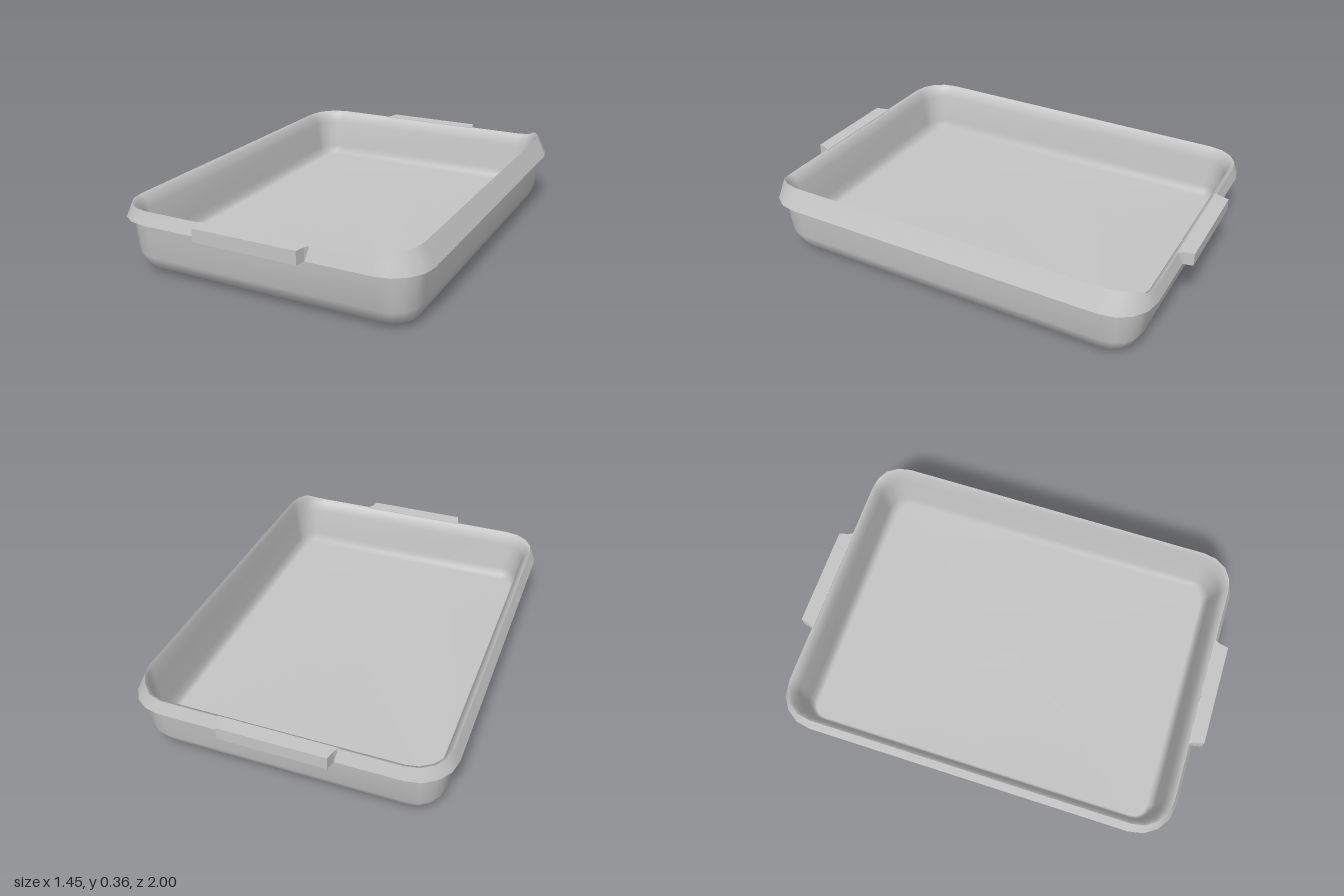
import * as THREE from 'three';

const metal = new THREE.MeshStandardMaterial({ color: 0xc4c4c4 });
metal.name = 'grey metal';

const CORNER_STEPS = 4;

// Rounded rectangle ring; a peak ring is pulled in and raised along the +x side
function ring({ x, z, r, y, peak = 0 }) {
  const points = [];
  const signs = [[1, 1], [-1, 1], [-1, -1], [1, -1]];
  signs.forEach(([sx, sz], corner) => {
    for (let i = 0; i <= CORNER_STEPS; i++) {
      const a = (corner + i / CORNER_STEPS) * Math.PI / 2;
      let px = sx * (x - r) + r * Math.cos(a);
      const pz = sz * (z - r) + r * Math.sin(a);
      const side = THREE.MathUtils.smoothstep(px, 0.57, 0.67);
      px -= 0.02 * side * peak;
      points.push(px, y + 0.036 * side * peak, pz);
    }
  });
  return points;
}

// Skin over a series of rings, smooth within one part
function loft(name, rings) {
  const n = 4 * (CORNER_STEPS + 1);
  const index = [];
  for (let k = 0; k < rings.length - 1; k++) {
    for (let i = 0; i < n; i++) {
      const a = k * n + i, b = k * n + (i + 1) % n;
      index.push(a, a + n, b, a + n, b + n, b);
    }
  }
  const geometry = new THREE.BufferGeometry();
  geometry.setAttribute('position', new THREE.Float32BufferAttribute(rings.flatMap(ring), 3));
  geometry.setIndex(index);
  geometry.computeVertexNormals();
  const mesh = new THREE.Mesh(geometry, metal);
  mesh.name = name;
  return mesh;
}

// Flat grip that flares where it meets the rim
function handle(name, turn) {
  const plan = new THREE.Shape([
    [-0.27, 0.93], [0.27, 0.93], [0.255, 0.955], [0.245, 1], [-0.245, 1], [-0.255, 0.955],
  ].map(([x, z]) => new THREE.Vector2(x, z)));
  const geometry = new THREE.ExtrudeGeometry(plan, { depth: 0.06, bevelEnabled: false });
  geometry.rotateX(Math.PI / 2).translate(0, 0.32, 0).rotateY(turn);
  const mesh = new THREE.Mesh(geometry, metal);
  mesh.name = name;
  return mesh;
}

export function createModel() {
  const model = new THREE.Group();
  model.name = 'bakingPan';

  const shoulder = { x: 0.694, z: 0.925, r: 0.15, y: 0.25 };
  const lip = { x: 0.727, z: 0.955, r: 0.18, y: 0.26 };
  const crest = { x: 0.7, z: 0.935, r: 0.16, y: 0.32, peak: 1 };

  model.add(
    // Underside and outer walls
    loft('outerShell', [
      { x: 0, z: 0, r: 0, y: 0 },
      { x: 0.6, z: 0.805, r: 0.07, y: 0 },
      { x: 0.658, z: 0.875, r: 0.11, y: 0.03 },
      { x: 0.682, z: 0.908, r: 0.13, y: 0.09 },
      shoulder,
    ]),
    // Overhanging rim
    loft('rimUnderside', [shoulder, lip]),
    loft('rimFace', [lip, crest]),
    // Rounded inner walls and raised floor
    loft('basin', [
      crest,
      { x: 0.684, z: 0.915, r: 0.145, y: 0.309, peak: 0.7 },
      { x: 0.662, z: 0.895, r: 0.125, y: 0.26 },
      { x: 0.645, z: 0.876, r: 0.1, y: 0.12 },
      { x: 0.635, z: 0.865, r: 0.085, y: 0.08 },
      { x: 0.617, z: 0.845, r: 0.06, y: 0.065 },
      { x: 0, z: 0, r: 0, y: 0.065 },
    ]),
    handle('frontHandle', 0),
    handle('backHandle', Math.PI),
  );
  return model;
}
